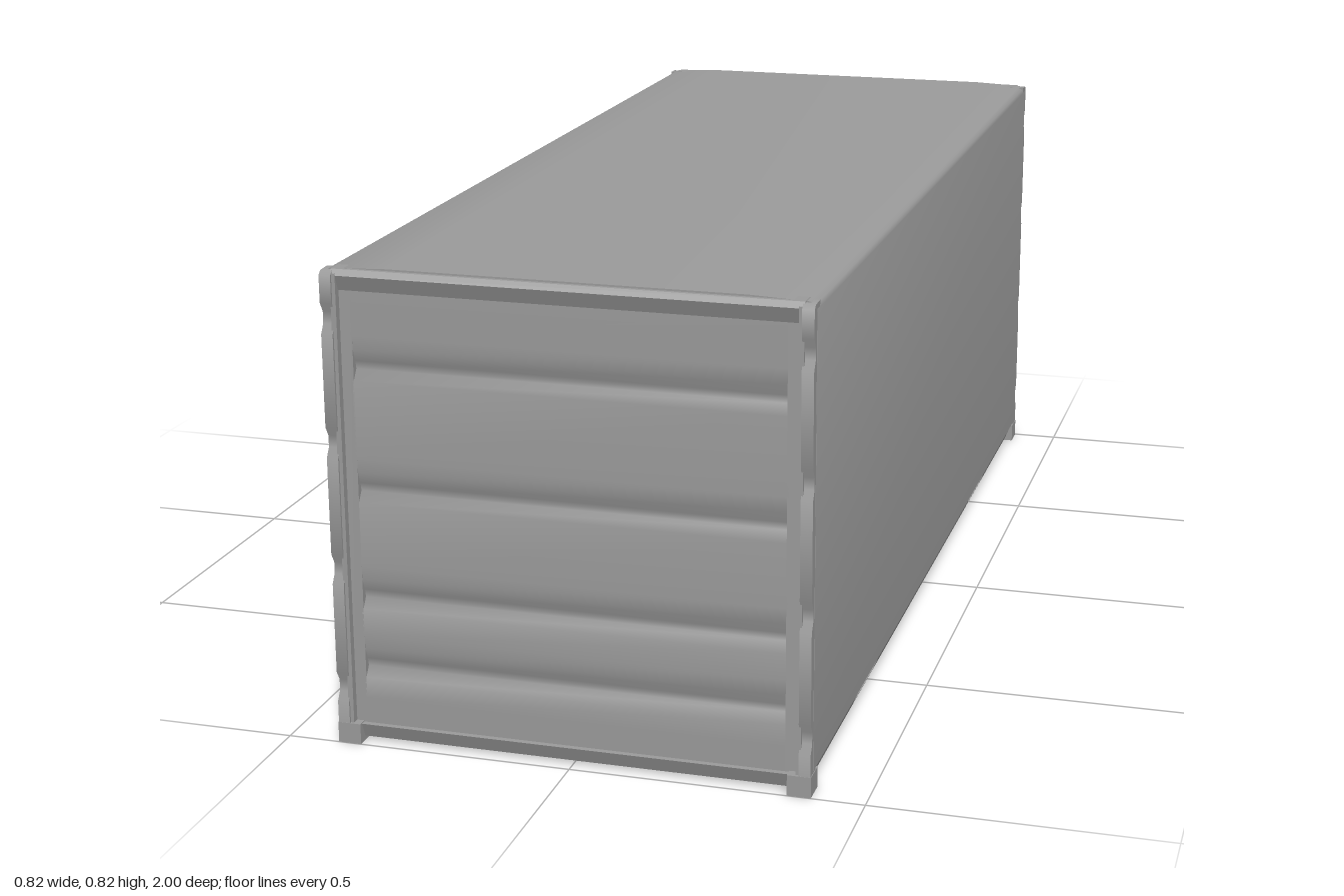
import * as THREE from 'three';
import { toCreasedNormals } from 'three/addons/utils/BufferGeometryUtils.js';

const material = new THREE.MeshStandardMaterial({ color: 0x9b9b9b, side: THREE.DoubleSide });
const GROOVES = [0.167, 0.29, 0.477, 0.686];  // upper edges of the pressed grooves
const NOTCHES = [0.1, 0.31, 0.53, 0.74];      // heights of the post notches

function add(parent, name, geometry, x = 0, y = 0, z = 0) {
  const mesh = new THREE.Mesh(geometry, material);
  mesh.name = name;
  mesh.position.set(x, y, z);
  parent.add(mesh);
  return mesh;
}

// Box given by its limits on each axis
function block(parent, name, [x0, x1], [y0, y1], [z0, z1]) {
  return add(parent, name, new THREE.BoxGeometry(Math.abs(x1 - x0), y1 - y0, z1 - z0),
    (x0 + x1) / 2, (y0 + y1) / 2, (z0 + z1) / 2);
}

const toShape = pts => new THREE.Shape(pts.map(p => new THREE.Vector2(...p)));

// Extrudes a (z, y) outline along x, centred on x = 0
function extrudeX(shape, width) {
  const g = new THREE.ExtrudeGeometry(shape, { depth: width, bevelEnabled: false });
  return g.translate(0, 0, -width / 2).rotateY(-Math.PI / 2);
}

// Smooth sheet with pressed grooves: rows of a plane follow a (z, y) profile
function groovedSheet(width) {
  const rows = [[0.978, 0.025], [0.978, 0.08]];
  for (const y of GROOVES) {
    rows.push([0.978, y - 0.052], [0.966, y - 0.034], [0.969, y - 0.02], [0.977, y], [0.978, y + 0.025]);
  }
  rows.push([0.978, 0.795]);
  rows.reverse();
  const g = new THREE.PlaneGeometry(width, 1, 1, rows.length - 1);
  const pos = g.attributes.position;
  for (let i = 0; i < pos.count; i++) {
    const [z, y] = rows[Math.floor(i / 2)];
    pos.setXYZ(i, pos.getX(i), y, z);
  }
  g.computeVertexNormals();
  return g;
}

// Outer strip of a corner post, notched along its end face
function notchedPost() {
  const pts = [[0.96, 0], [0.995, 0]];
  for (const y of NOTCHES) {
    pts.push([0.995, y - 0.026], [0.985, y - 0.01], [0.985, y + 0.01], [0.995, y + 0.026]);
  }
  pts.push([0.995, 0.812], [0.988, 0.819], [0.96, 0.82]);
  return toCreasedNormals(extrudeX(toShape(pts), 0.02), 0.8);
}

// End frame with posts, castings, header and sill
function makeEnd(name, hasDoors) {
  const end = new THREE.Group();
  end.name = name;
  const post = notchedPost();
  for (const s of [-1, 1]) {
    add(end, 'cornerPost', post, s * 0.399, 0, 0);
    block(end, 'postInnerFlange', [s * 0.383, s * 0.392], [0.01, 0.815], [0.96, 0.991]);
    block(end, 'bottomCasting', [s * 0.37, s * 0.41], [0, 0.036], [0.95, 0.9955]);
    block(end, 'panelEdge', [s * 0.363, s * 0.386], [0.025, 0.795], [0.966, 0.978]);
  }
  // Header and sill lean inward towards their lower edges
  const header = toShape([[0.955, 0.786], [0.98, 0.786], [0.991, 0.812], [0.985, 0.822], [0.955, 0.822]]);
  add(end, 'topHeader', toCreasedNormals(extrudeX(header, 0.784), 0.8));
  const sill = toShape([[0.955, 0.008], [0.977, 0.008], [0.988, 0.034], [0.955, 0.034]]);
  add(end, 'bottomSill', extrudeX(sill, 0.77));

  if (!hasDoors) {
    add(end, 'endPanel', groovedSheet(0.73));
    return end;
  }
  const door = groovedSheet(0.345);
  block(end, 'doorSeam', [-0.022, 0.022], [0.03, 0.79], [0.966, 0.9785]);
  for (const s of [-1, 1]) {
    add(end, 'doorPanel', door, s * 0.1925, 0, 0);
    for (const x of [0.05, 0.2]) addLockRod(end, s * x);
    addHandles(end, s);
  }
  return end;
}

// Vertical locking rod with brackets and end cams
function addLockRod(end, x) {
  add(end, 'lockRod', new THREE.CylinderGeometry(0.0045, 0.0045, 0.73, 10), x, 0.41, 0.986);
  for (const y of [0.16, 0.3, 0.54, 0.67]) {
    block(end, 'rodBracket', [x - 0.007, x + 0.007], [y - 0.006, y + 0.006], [0.975, 0.991]);
  }
  const cam = new THREE.CylinderGeometry(0.01, 0.01, 0.016, 10);
  for (const y of [0.06, 0.762]) add(end, 'rodCam', cam, x, y, 0.983);
}

// Pair of door handles with pivots and catches
function addHandles(end, s) {
  for (const [y, a, b] of [[0.425, 0.05, 0.15], [0.385, 0.09, 0.2]]) {
    block(end, 'doorHandle', [s * a, s * b], [y - 0.004, y + 0.004], [0.986, 0.992]);
    block(end, 'handleCatch', [s * 0.108, s * 0.14], [y - 0.009, y + 0.009], [0.975, 0.999]);
    const pivot = add(end, 'handlePivot', new THREE.CylinderGeometry(0.008, 0.008, 0.018, 10),
      s * (y > 0.4 ? 0.05 : 0.2), y, 0.985);
    pivot.rotation.x = Math.PI / 2;
  }
}

// Side walls and crowned roof as one thin shell, open below
function makeShell() {
  const outline = (w, top) => [
    [w, 0.04], [w, top - 0.016], [w - 0.003, top - 0.009], [w - 0.012, top - 0.004],
    [0.3, top], [-0.3, top],
    [-w + 0.012, top - 0.004], [-w + 0.003, top - 0.009], [-w, top - 0.016], [-w, 0.04],
  ];
  const shape = toShape([...outline(0.4095, 0.825), ...outline(0.403, 0.818).reverse()]);
  const g = new THREE.ExtrudeGeometry(shape, { depth: 1.964, bevelEnabled: false });
  return toCreasedNormals(g.translate(0, 0, -0.982), 0.8);
}

// Bottom side rail with two fork pockets, leaning inward towards its lower edge
function makeRail() {
  const rail = toShape([[-0.97, 0.003], [0.97, 0.003], [0.97, 0.042], [-0.97, 0.042]]);
  for (const [a, b] of [[0.46, 0.63], [-0.62, -0.45]]) {
    rail.holes.push(new THREE.Path([[a, 0.006], [a, 0.037], [b, 0.037], [b, 0.006]]
      .map(p => new THREE.Vector2(...p))));
  }
  const g = extrudeX(rail, 0.012);
  const pos = g.attributes.position;
  for (let i = 0; i < pos.count; i++) pos.setX(i, pos.getX(i) + 0.386 + 0.4 * pos.getY(i));
  g.computeVertexNormals();
  return g;
}

export function createModel() {
  const model = new THREE.Group();
  model.name = 'cargoContainer';

  add(model, 'wallsAndRoof', makeShell());
  const rail = makeRail();
  for (const s of [-1, 1]) add(model, 'bottomSideRail', rail).scale.x = s;

  const front = makeEnd('frontEnd', false);
  front.position.z = 0.004;
  const back = makeEnd('doorEnd', true);
  back.rotation.y = Math.PI;
  model.add(front, back);
  return model;
}
